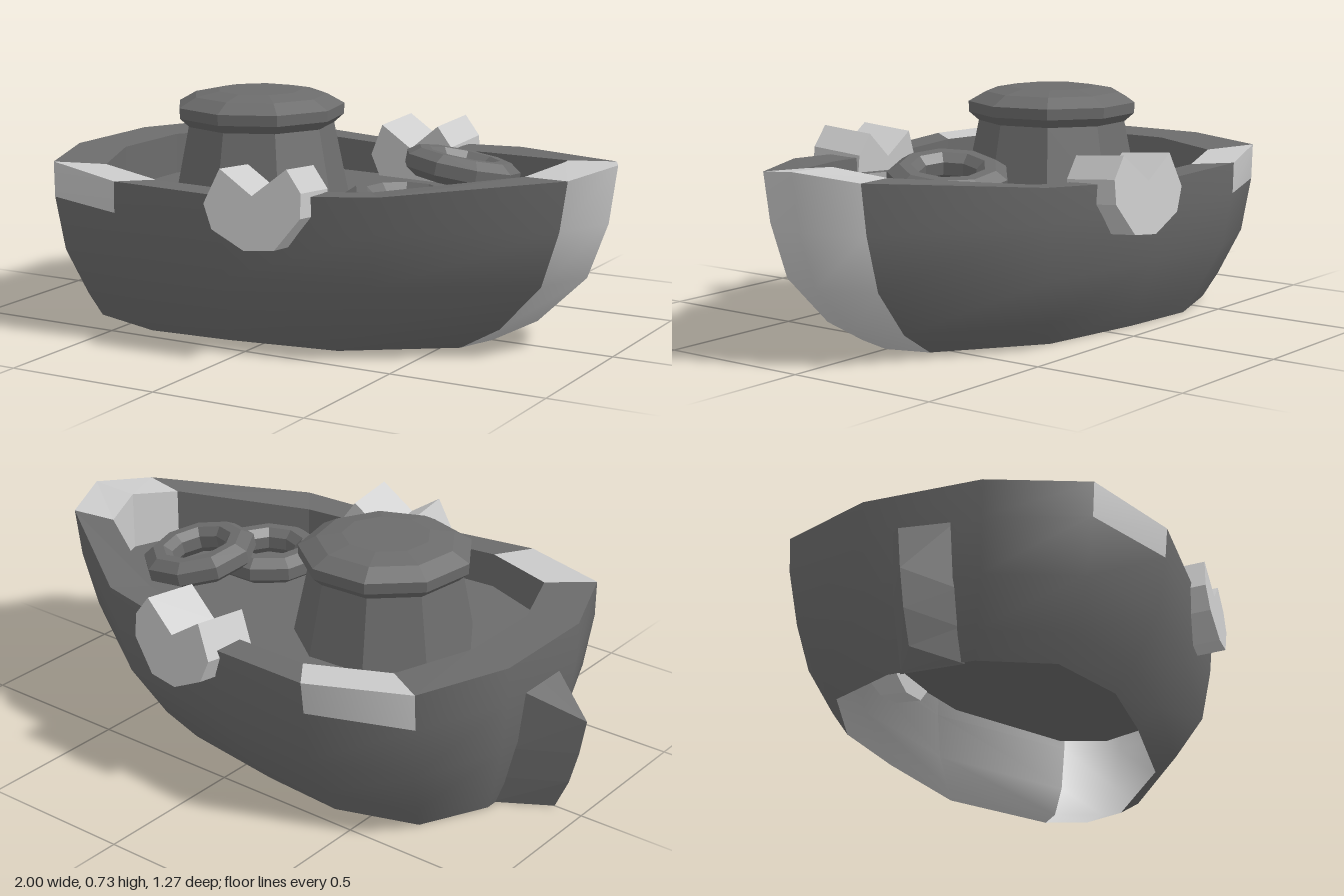
import * as THREE from 'three';

const paint = (color, flatShading) =>
  new THREE.MeshStandardMaterial({ color, flatShading, side: THREE.DoubleSide });
const darkSmooth = paint(0x6c6c6c, false);
const darkFlat = paint(0x6c6c6c, true);
const lightSmooth = paint(0xcccccc, false);
const lightFlat = paint(0xcccccc, true);

// Closed loft through rows of points; keep(row, column) picks the cells shown
function loft(rows, keep = () => true) {
  const n = rows[0].length, all = [], kept = [];
  for (let r = 0; r < rows.length - 1; r++) {
    for (let j = 0; j < n; j++) {
      const a = r * n + j, b = r * n + (j + 1) % n;
      const cell = [a, a + n, b, b, a + n, b + n];
      all.push(...cell);
      if (keep(r, j)) kept.push(...cell);
    }
  }
  const g = new THREE.BufferGeometry();
  g.setAttribute('position', new THREE.Float32BufferAttribute(rows.flat(2), 3));
  g.setIndex(all);
  g.computeVertexNormals();
  g.setIndex(kept);
  return g;
}

// Complete a half outline (bow to stern on +z) with its mirror image
const mirror = (half) => [...half, ...half.slice(1).reverse().map(([x, y, z]) => [x, y, -z])];

const lathe = (profile, sides) =>
  new THREE.LatheGeometry(profile.map(([r, y]) => new THREE.Vector2(r, y)), sides);

export function createModel() {
  const model = new THREE.Group();
  const add = (name, geometry, material, parent = model) => {
    const mesh = new THREE.Mesh(geometry, material);
    mesh.name = name;
    parent.add(mesh);
    return mesh;
  };

  // Outer and inner edges of the rim
  const outer = mirror([[1, 0.59, 0], [0.92, 0.565, 0.19], [0.46, 0.525, 0.5], [-0.03, 0.495, 0.58],
    [-0.4, 0.51, 0.61], [-0.72, 0.525, 0.49], [-0.84, 0.53, 0.19]]);
  const inner = mirror([[0.83, 0.585, 0], [0.77, 0.56, 0.16], [0.38, 0.515, 0.4], [-0.03, 0.495, 0.48],
    [-0.32, 0.505, 0.5], [-0.58, 0.515, 0.4], [-0.68, 0.525, 0.15]]);
  const deckY = 0.39, cabinX = -0.25;
  const deckEdge = inner.map(([x, , z]) => [x, deckY, z]);

  // Hull levels: height, stern x, bow x, width factor, forward shift amidships
  const levels = [[0, -0.75, 0.6, 0.71, 0.04], [0.08, -0.78, 0.75, 0.8, 0.03],
    [0.235, -0.82, 0.91, 0.94, 0.01], [0.41, -0.84, 0.975, 0.99, 0]];
  const hullRows = levels.map(([y, stern, bow, w, shift]) => outer.map(([x, , z]) => {
    const t = (x + 0.84) / 1.84;
    return [stern + t * (bow - stern) + shift * (1 - (2 * t - 1) ** 4), y, z * w];
  }));
  hullRows.push(outer);

  // Light plates: the bow strip, and the upper stern quarters
  const last = outer.length - 1;
  const isBow = (j) => j === 0 || j === last;
  const isQuarter = (j) => j === 4 || j === last - 4;
  const hullPlate = (r, j) => isBow(j) || (r === 3 && isQuarter(j));
  const rimPlate = (r, j) => isBow(j) || isQuarter(j);

  add('hull', loft(hullRows, (r, j) => !hullPlate(r, j)), darkSmooth);
  add('hullPlates', loft(hullRows, hullPlate), lightSmooth);
  add('rim', loft([outer, inner], (r, j) => !rimPlate(r, j)), darkFlat);
  add('rimPlates', loft([outer, inner], rimPlate), lightFlat);
  add('bulwark', loft([inner, deckEdge], (r, j) => !isBow(j)), darkFlat);
  add('bowInnerPlate', loft([inner, deckEdge], (r, j) => isBow(j)), lightFlat);

  // Deck, open under the cabin
  const opening = deckEdge.map(([x, y, z]) => {
    const a = Math.atan2(z, x - cabinX);
    return [cabinX + 0.275 * Math.cos(a), y, 0.275 * Math.sin(a)];
  });
  add('deck', loft([deckEdge, opening]), darkFlat);

  // Wedge-shaped rudder, its base sunk slightly into the stern
  const wedge = (baseX, baseY, tipX, tipY) => [[baseX, baseY, 0.1], [tipX, tipY, 0], [baseX, baseY, -0.1]];
  add('rudder', loft([
    wedge(-0.74, 0, -0.905, 0),
    wedge(-0.775, 0.1, -0.95, 0.1),
    wedge(-0.805, 0.21, -0.98, 0.21),
    wedge(-0.825, 0.415, -1, 0.325),
    Array(3).fill([-0.825, 0.415, 0]),
  ]), darkFlat);

  // Cabin with an overhanging cap
  const cabinProfile = [[0.29, deckY], [0.243, 0.62], [0.275, 0.648], [0.277, 0.683], [0.22, 0.715], [0.14, 0.73], [0, 0.732]];
  const cabin = add('cabin', lathe(cabinProfile, 9), darkFlat);
  cabin.position.x = cabinX;
  cabin.rotation.y = 0.05;

  // Two life rings, one leaning on the other
  const ringGeometry = lathe([[0.15, -0.045], [0.187, -0.02], [0.187, 0.02], [0.15, 0.045], [0.115, 0.045],
    [0.09, 0.02], [0.09, -0.02], [0.115, -0.045], [0.15, -0.045]], 9);
  for (const [x, y, z, tilt] of [[0.36, 0.44, 0.16, 0], [0.43, 0.513, -0.11, -0.14]]) {
    const ring = add('lifeRing', ringGeometry, darkFlat);
    ring.position.set(x, y, z);
    ring.rotation.set(tilt, 0, tilt);
  }

  // Notched oar rests on both sides, leaning inwards
  const notch = new THREE.Shape([[-0.16, 0], [-0.11, 0.108], [0, 0.035], [0.11, 0.122], [0.16, 0.055], [0.16, -0.02],
    [0.08, -0.12], [-0.02, -0.13], [-0.13, -0.075]].map(([x, y]) => new THREE.Vector2(x, y)));
  const restGeometry = new THREE.ExtrudeGeometry(notch, { depth: 0.185, bevelEnabled: false });
  restGeometry.translate(0, 0, -0.0925).rotateX(-0.09).rotateY(0.08);
  for (const side of [1, -1]) {
    const holder = new THREE.Group();
    holder.name = side > 0 ? 'frontOarRest' : 'backOarRest';
    holder.scale.z = side;
    model.add(holder);
    add('oarRest', restGeometry, lightFlat, holder).position.set(0.09, 0.47, 0.525);
  }
  return model;
}
